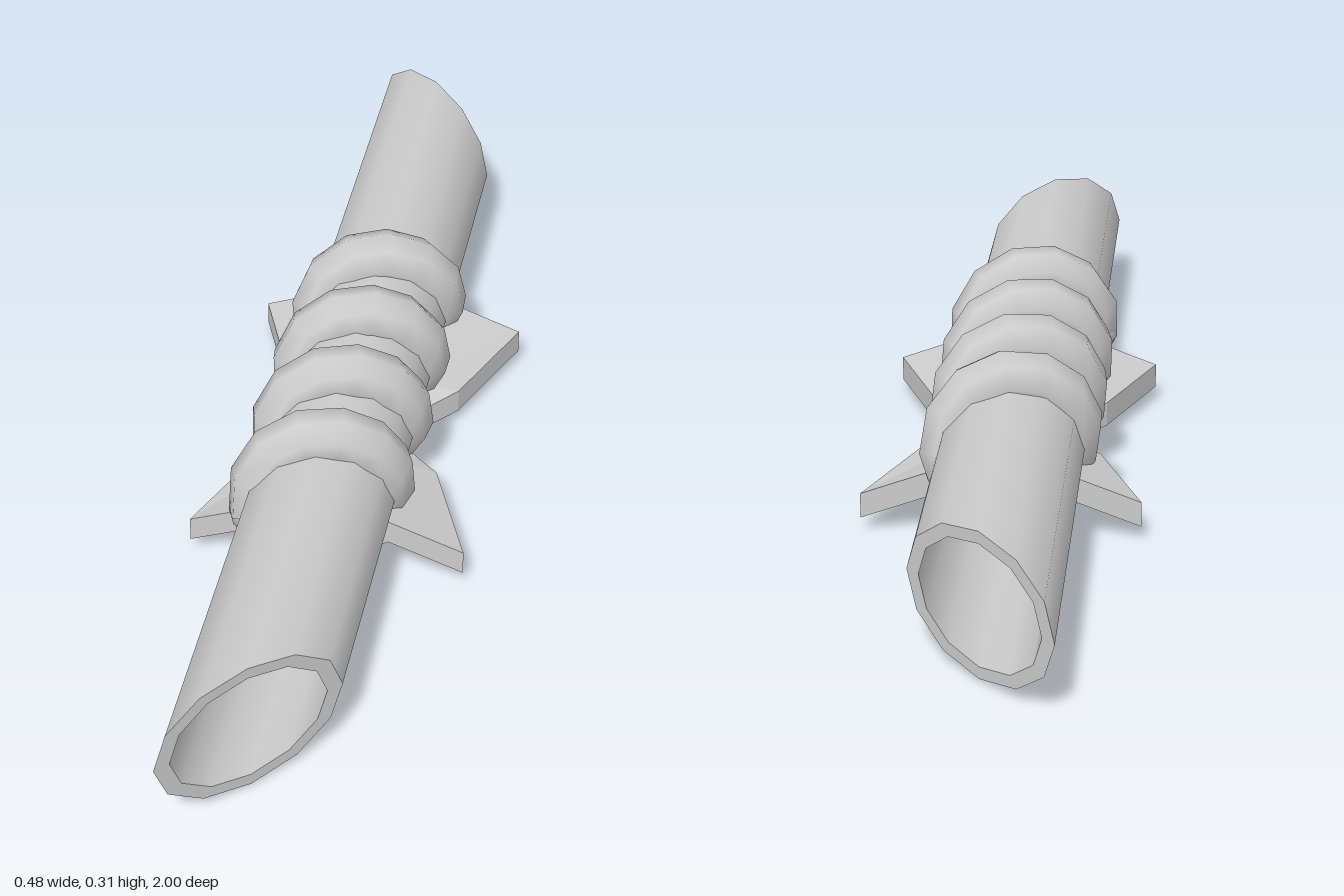
import * as THREE from 'three';
import { toCreasedNormals } from 'three/addons/utils/BufferGeometryUtils.js';

const CX = -0.013; // axis of the pipe and coil
const material = new THREE.MeshStandardMaterial({ color: 0xcccccc });

function addMesh(group, name, geometry, mat = material) {
  const mesh = new THREE.Mesh(geometry, mat);
  mesh.name = name;
  group.add(mesh);
  return mesh;
}

// Hollow twelve-sided pipe, both ends cut at 45 degrees
function pipeGeometry() {
  const outer = 0.126, inner = 0.105, half = 0.874;
  const profile = [
    [outer, -half], [outer, half], [inner, half], [inner, -half], [outer, -half],
  ].map(([r, y]) => new THREE.Vector2(r, y));
  const geo = new THREE.LatheGeometry(profile, 12).rotateX(Math.PI / 2);
  const p = geo.attributes.position;
  for (let i = 0; i < p.count; i++) {
    p.setZ(i, Math.sign(p.getZ(i)) * (half - p.getX(i)));
  }
  return toCreasedNormals(geo.translate(CX, 0.134, 0), 0.7);
}

// Rope path: a helix over the top from left to right, moving backwards
class Coil extends THREE.Curve {
  getPoint(t, target = new THREE.Vector3()) {
    const start = Math.PI * 1.08, turns = 3.64;
    const turned = t * turns * Math.PI * 2;
    const a = start - turned;
    const z = 0.29 - 0.18 * (turned - (start - Math.PI / 2)) / (Math.PI * 2);
    return target.set(CX + 0.105 * Math.cos(a), 0.159 + 0.105 * Math.sin(a), z);
  }
}

// Folded bow-shaped strip: each section is [z, tip x, tip y, ridge x, ridge y, valley y]
function bowGeometry() {
  const halfSections = [
    [0, 0.06, 0.055, 0.04, 0.06, 0.05],
    [0.08, 0.12, 0.07, 0.07, 0.08, 0.05],
    [0.12, 0.16, 0.075, 0.08, 0.09, 0.05],
    [0.325, 0.242, 0.073, 0.11, 0.122, 0.05],
  ];
  const back = halfSections.slice(1).reverse().map(([z, ...rest]) => [-z, ...rest]);
  const rings = [...back, ...halfSections].map(([z, tx, ty, rx, ry, vy]) => {
    const top = [[tx, ty], [rx, ry], [-0.008, vy], [-rx, ry], [-tx, ty]];
    const bottom = top.map(([x, y]) => [x, y - 0.045]).reverse();
    return [...top, ...bottom].map(([x, y]) => new THREE.Vector3(x, y, z));
  });
  const points = [];
  const quad = (a, b, c, d) => points.push(a, b, c, a, c, d);
  for (let s = 0; s < rings.length - 1; s++) {
    for (let i = 0; i < 10; i++) {
      const j = (i + 1) % 10;
      quad(rings[s][i], rings[s][j], rings[s + 1][j], rings[s + 1][i]);
    }
  }
  const first = rings[0], last = rings[rings.length - 1];
  for (let k = 0; k < 4; k++) {
    quad(last[k], last[k + 1], last[8 - k], last[9 - k]);
    quad(first[9 - k], first[8 - k], first[k + 1], first[k]);
  }
  const geo = new THREE.BufferGeometry().setFromPoints(points);
  geo.computeVertexNormals();
  return geo;
}

export function createModel() {
  const model = new THREE.Group();
  model.name = 'wrappedPipe';

  addMesh(model, 'pipe', pipeGeometry());

  // Rope wound around the pipe, with rounded ends
  const rope = new THREE.Group();
  rope.name = 'rope';
  model.add(rope);
  const coil = new Coil();
  addMesh(rope, 'ropeCoil', new THREE.TubeGeometry(coil, 44, 0.053, 8));
  for (const t of [0, 1]) {
    addMesh(rope, 'ropeEnd', new THREE.SphereGeometry(0.051, 10, 8)).position.copy(coil.getPoint(t));
  }

  const flat = material.clone();
  flat.flatShading = true;
  addMesh(model, 'bowStrip', bowGeometry(), flat);

  return model;
}
